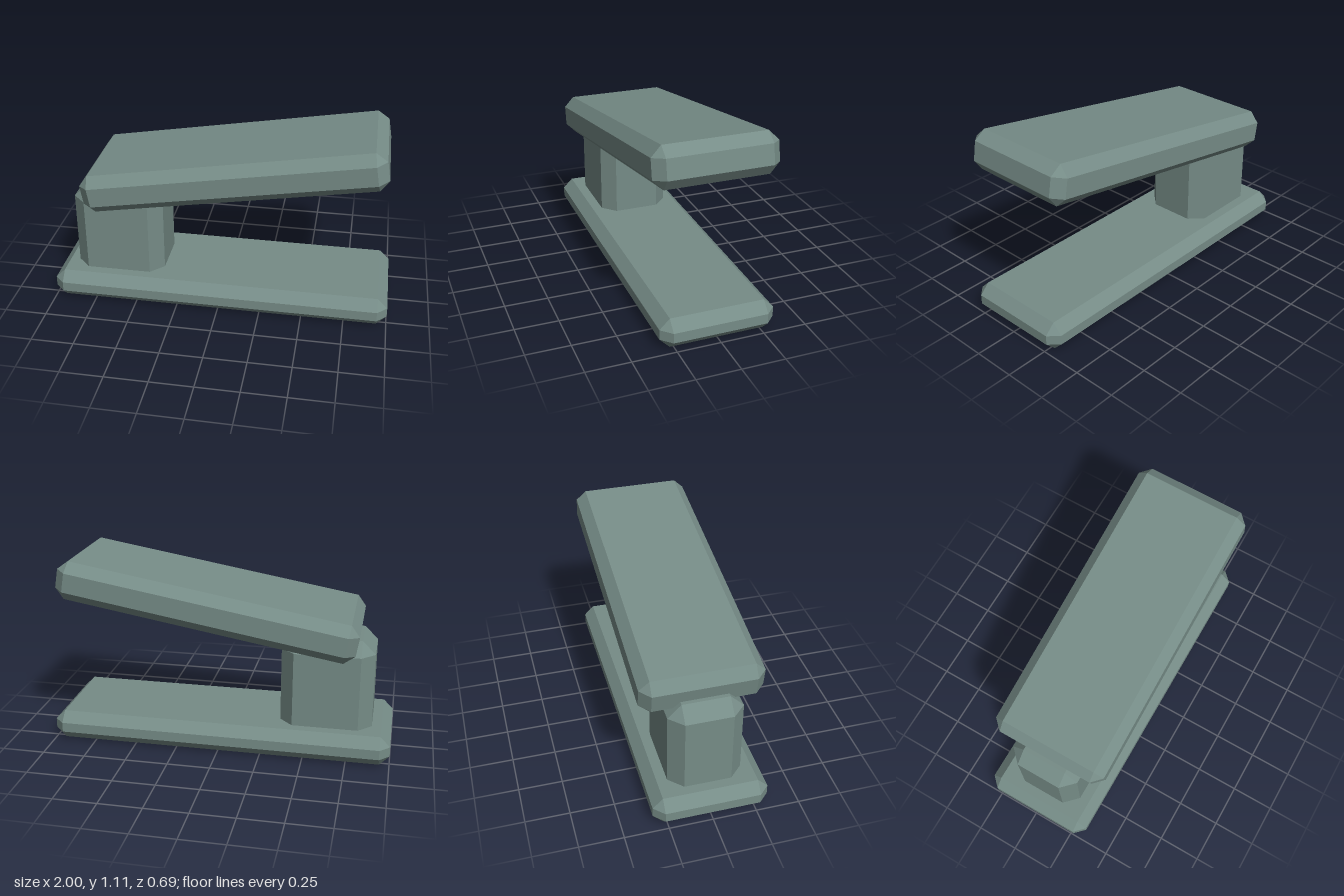
import * as THREE from 'three';
import { ConvexGeometry } from 'three/addons/geometries/ConvexGeometry.js';

// Box with every edge cut flat at 45 degrees
function chamferedBox(width, height, depth, cut) {
  const [x, y, z] = [width / 2, height / 2, depth / 2];
  const points = [];
  for (const sx of [-1, 1]) for (const sy of [-1, 1]) for (const sz of [-1, 1]) {
    points.push(
      new THREE.Vector3(sx * x, sy * (y - cut), sz * (z - cut)),
      new THREE.Vector3(sx * (x - cut), sy * y, sz * (z - cut)),
      new THREE.Vector3(sx * (x - cut), sy * (y - cut), sz * z)
    );
  }
  return new ConvexGeometry(points);
}

export function createModel() {
  const group = new THREE.Group();
  const material = new THREE.MeshStandardMaterial({ color: 0x768c87 });
  material.name = 'greyGreen';

  function addPart(name, size, cut, position) {
    const mesh = new THREE.Mesh(chamferedBox(...size, cut), material);
    mesh.name = name;
    mesh.position.set(...position);
    group.add(mesh);
    return mesh;
  }

  // Flat foot
  addPart('base', [2, 0.174, 0.656], 0.058, [0, 0.087, 0]);

  // Upright block, its lower end sunk into the base
  addPart('post', [0.536, 0.635, 0.422], 0.077, [-0.618, 0.3775, 0]);

  // Slab tilted up towards the right of the frame, resting on the post
  const arm = addPart('upperArm', [1.748, 0.229, 0.694], 0.058, [0.0725, 0.861, 0]);
  arm.rotation.z = 0.17;

  return group;
}
